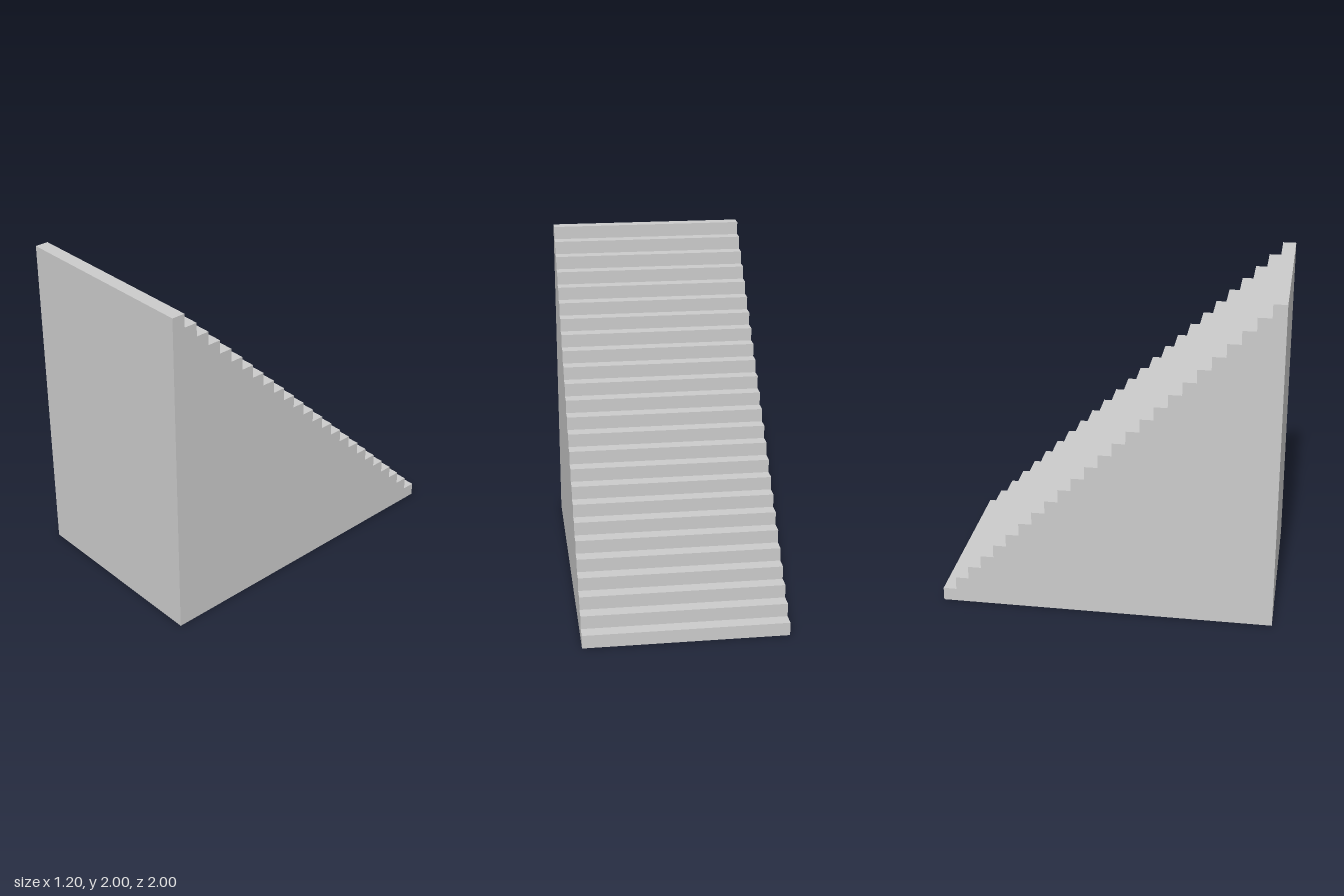
import * as THREE from 'three';

const STEPS = 25;
const LENGTH = 2;
const HEIGHT = 2;
const WIDTH = 1.2;

export function createModel() {
  const group = new THREE.Group();
  group.name = 'staircase';

  // Side profile: flat base, tall front wall, then treads and risers down to the back
  const run = LENGTH / STEPS;
  const rise = HEIGHT / STEPS;
  const profile = new THREE.Shape();
  profile.moveTo(-LENGTH / 2, 0);
  profile.lineTo(LENGTH / 2, 0);
  for (let i = STEPS; i >= 1; i--) {
    profile.lineTo(-LENGTH / 2 + i * run, i * rise);
    profile.lineTo(-LENGTH / 2 + (i - 1) * run, i * rise);
  }
  profile.closePath();

  // Solid flight of steps, extruded across the width
  const geometry = new THREE.ExtrudeGeometry(profile, { depth: WIDTH, bevelEnabled: false });
  geometry.translate(0, 0, -WIDTH / 2);
  geometry.rotateY(-Math.PI / 2); // profile x becomes z

  const material = new THREE.MeshStandardMaterial({ color: 0xcccccc, flatShading: true });
  const steps = new THREE.Mesh(geometry, material);
  steps.name = 'steps';
  group.add(steps);
  return group;
}
